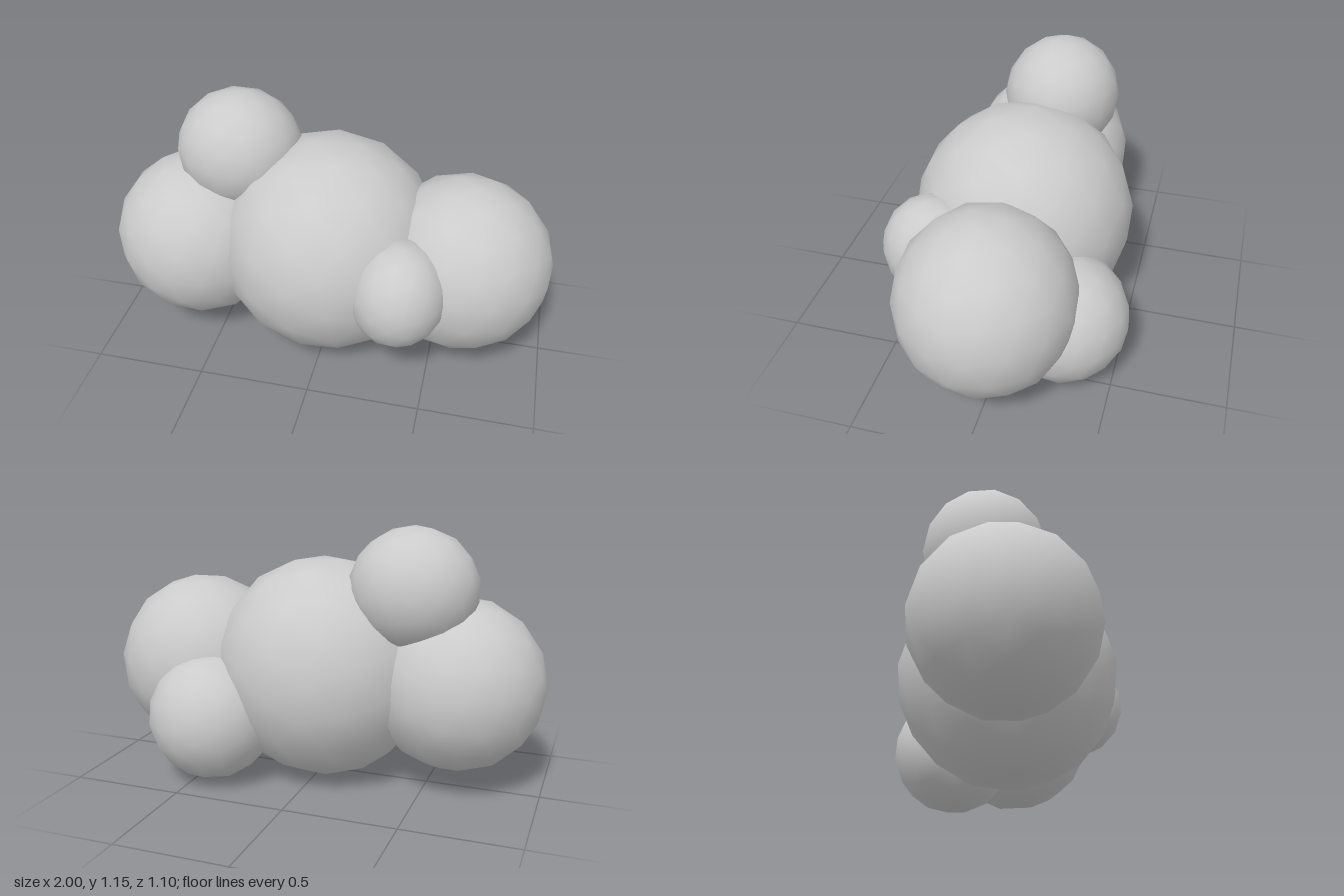
import * as THREE from 'three';

// Cloud lobes: name, centre, radii, turn
const LOBES = [
  ['mainPuff', [-0.005, 0.5, 0.02], [0.5, 0.503, 0.495], [0.3, 0.2, 0.1]],
  ['leftPuff', [0.6, 0.477, 0.02], [0.4, 0.402, 0.386], [0.1, 0.5, 0.4]],
  ['rightPuff', [-0.612, 0.47, 0.04], [0.39, 0.386, 0.386], [0.6, 0.1, 0.3]],
  ['topPuff', [-0.43, 0.89, -0.05], [0.282, 0.272, 0.265], [0.2, 0.7, 0.5]],
  ['frontPuff', [0.36, 0.505, 0.325], [0.212, 0.242, 0.228], [0.5, 0.4, 0.2]],
  ['backPuff', [0.43, 0.3, -0.265], [0.287, 0.287, 0.287], [0.4, 0.3, 0.8]],
];

export function createModel() {
  const group = new THREE.Group();
  group.name = 'cloud';
  const material = new THREE.MeshStandardMaterial({ color: 0xcccccc });

  for (const [name, centre, radii, turn] of LOBES) {
    // Coarse ball with smooth shading, turned first so the radii stay on the axes
    const ball = new THREE.IcosahedronGeometry(1, 2);
    ball.applyMatrix4(new THREE.Matrix4().makeRotationFromEuler(new THREE.Euler(...turn)));
    ball.scale(...radii);
    const puff = new THREE.Mesh(ball, material);
    puff.name = name;
    puff.position.set(...centre);
    group.add(puff);
  }
  return group;
}
